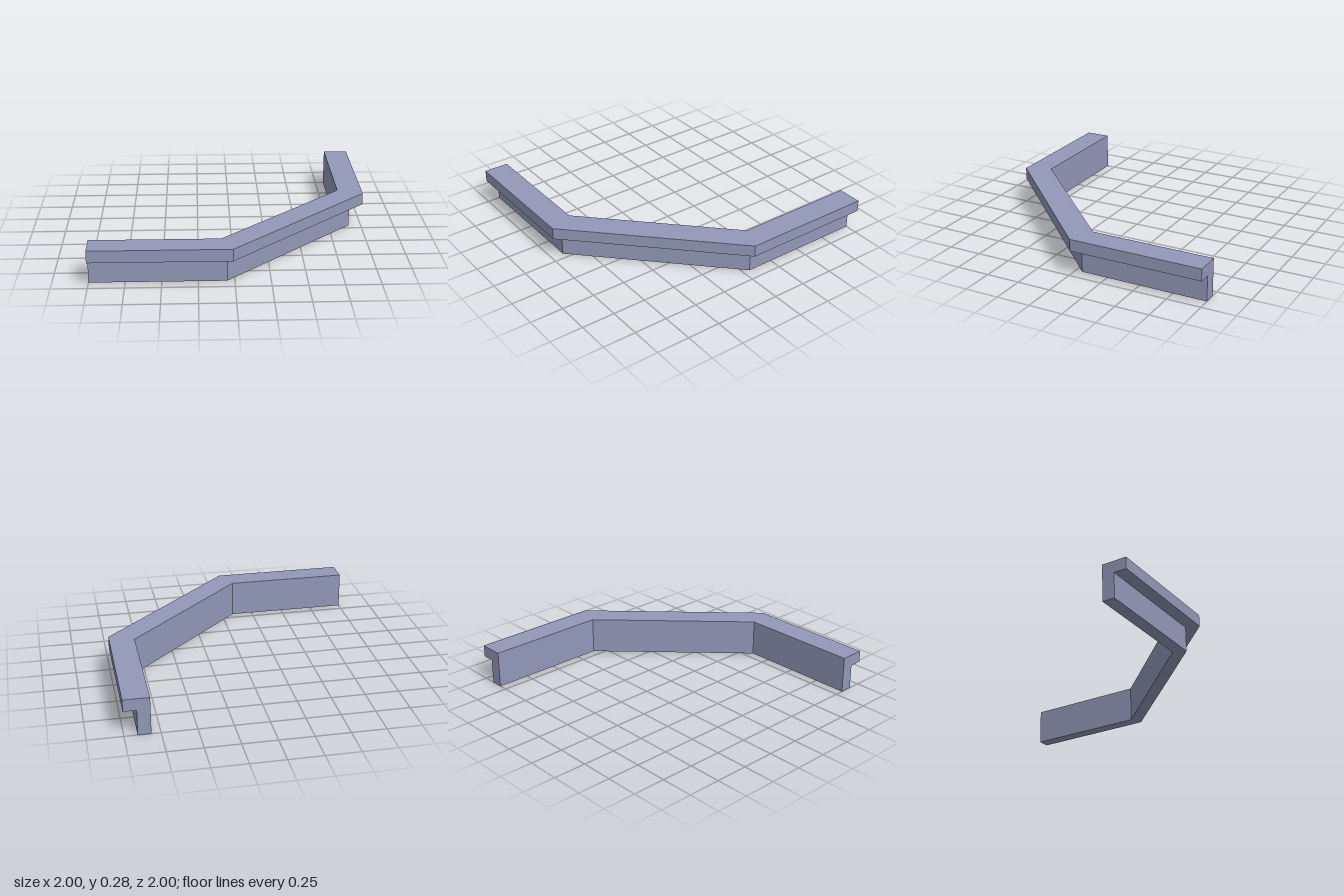
import * as THREE from 'three';

const INNER = 0.815; // inner face, shared by wall and cap
const MITRE = Math.tan(Math.PI / 8);

// Corner points of the bent path at a given offset (x, z), left end to back end
function bentLine(offset) {
  const bend = -0.09 + (offset - INNER) * MITRE;
  return [[-1, offset], [bend, offset], [offset, bend], [offset, -1]];
}

// Vertical band between the inner face and an outer offset
function band(name, outer, bottom, top, material) {
  const outline = [...bentLine(outer), ...bentLine(INNER).reverse()];
  const shape = new THREE.Shape(outline.map(([x, z]) => new THREE.Vector2(x, -z)));
  const geometry = new THREE.ExtrudeGeometry(shape, { depth: top - bottom, bevelEnabled: false });
  geometry.rotateX(-Math.PI / 2);
  geometry.translate(0, bottom, 0);
  const mesh = new THREE.Mesh(geometry, material);
  mesh.name = name;
  return mesh;
}

export function createModel() {
  const group = new THREE.Group();
  group.name = 'bentCorniceRail';
  const material = new THREE.MeshStandardMaterial({ color: 0x9298b8 });
  material.name = 'blueGrey';

  // Thin lower wall and the wider cap overhanging its outer side
  group.add(band('lowerWall', 0.907, 0, 0.187, material));
  group.add(band('overhangingCap', 1, 0.187, 0.275, material));
  return group;
}
